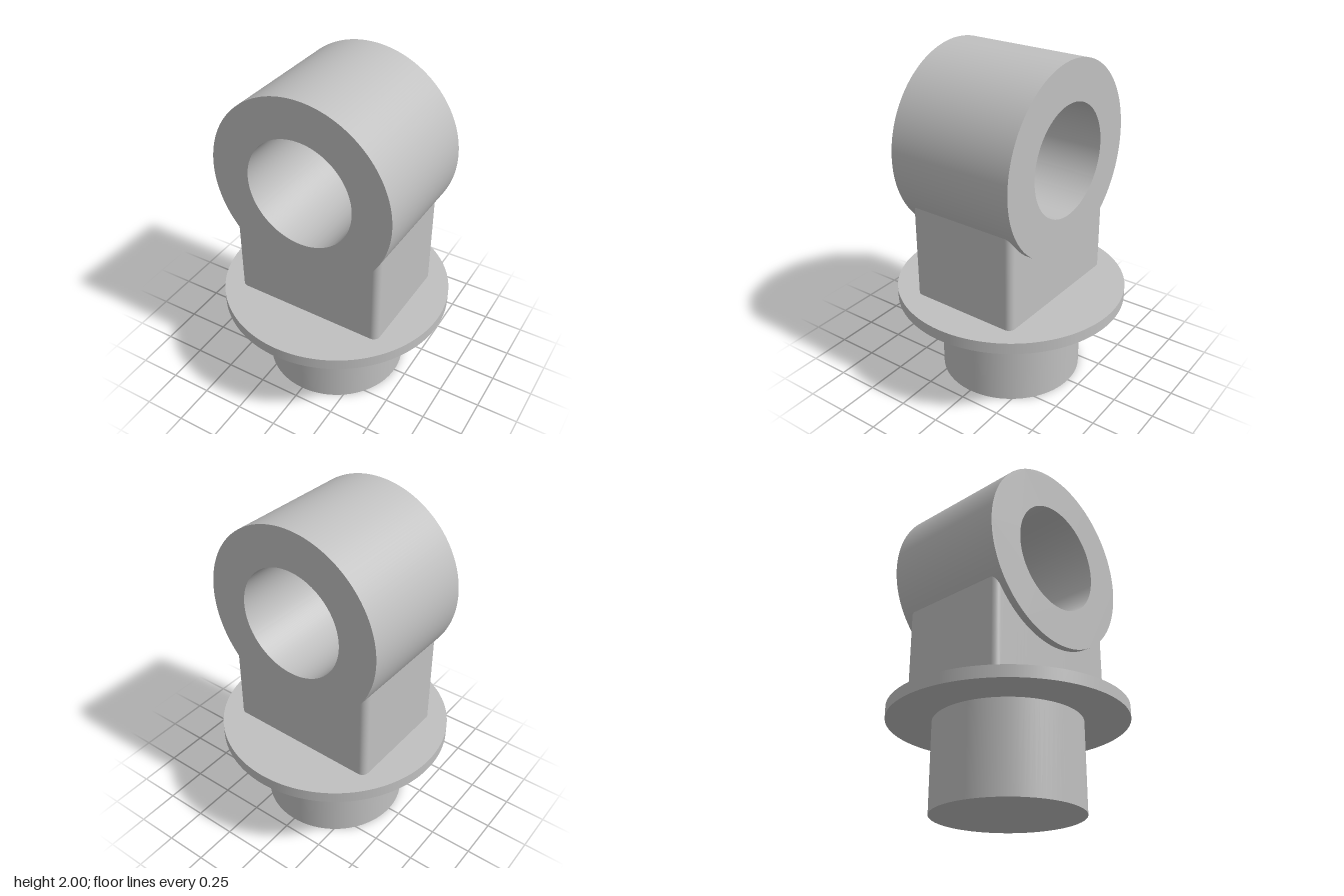
import * as THREE from 'three';
import { toCreasedNormals } from 'three/addons/utils/BufferGeometryUtils.js';

const EYE_Y = 1.445, EYE_R = 0.555, BORE_R = 0.324, EYE_DEPTH = 0.772;

// Ring extruded along z, centred on its own origin
function ringGeometry(outer, inner, depth) {
  const shape = new THREE.Shape().absarc(0, 0, outer, 0, Math.PI * 2, false);
  shape.holes.push(new THREE.Path().absarc(0, 0, inner, 0, Math.PI * 2, true));
  const geo = new THREE.ExtrudeGeometry(shape, { depth, bevelEnabled: false, curveSegments: 96 });
  geo.translate(0, 0, -depth / 2);
  return toCreasedNormals(geo, 0.6);
}

// Rounded rectangular wall whose top edge follows an arc buried inside the eye
function neckGeometry(halfX, halfZ, r, bottom, buryR) {
  const outline = [];
  const corners = [[1, 1], [-1, 1], [-1, -1], [1, -1]];
  corners.forEach(([sx, sz], i) => {
    for (let k = 0; k <= 8; k++) {
      const a = (i + k / 8) * Math.PI / 2, nx = Math.cos(a), nz = Math.sin(a);
      outline.push([sx * (halfX - r) + r * nx, sz * (halfZ - r) + r * nz, nx, nz]);
    }
    // Subdivide the straight run to the next corner
    const [x, z, nx, nz] = outline[outline.length - 1];
    const [ex, ez] = corners[(i + 1) % 4];
    const tx = ex * (halfX - r) + r * nx, tz = ez * (halfZ - r) + r * nz;
    for (let k = 1; k < 32; k++) {
      const t = k / 32;
      outline.push([x + (tx - x) * t, z + (tz - z) * t, nx, nz]);
    }
  });

  const pos = [], nor = [], idx = [], n = outline.length;
  outline.forEach(([x, z, nx, nz], i) => {
    pos.push(x, bottom, z, x, EYE_Y - Math.sqrt(buryR * buryR - x * x), z);
    nor.push(nx, 0, nz, nx, 0, nz);
    const a = 2 * i, b = 2 * ((i + 1) % n);
    idx.push(a, a + 1, b, a + 1, b + 1, b);
  });
  const geo = new THREE.BufferGeometry();
  geo.setAttribute('position', new THREE.Float32BufferAttribute(pos, 3));
  geo.setAttribute('normal', new THREE.Float32BufferAttribute(nor, 3));
  geo.setIndex(idx);
  return geo;
}

export function createModel() {
  const model = new THREE.Group();
  model.name = 'rodEye';
  const steel = new THREE.MeshStandardMaterial({ color: 0xc0c0c0 });
  steel.name = 'grey steel';

  const add = (parent, name, geo, y) => {
    const mesh = new THREE.Mesh(geo, steel);
    mesh.name = name;
    mesh.position.y = y;
    parent.add(mesh);
  };

  // Round shank and flange
  add(model, 'shank', new THREE.CylinderGeometry(0.427, 0.427, 0.52, 96), 0.26);
  add(model, 'flange', new THREE.CylinderGeometry(0.685, 0.685, 0.068, 128), 0.552);

  // Eye and neck, turned very slightly about the shank axis
  const head = new THREE.Group();
  head.name = 'head';
  head.rotation.y = -0.018;
  add(head, 'eye', ringGeometry(EYE_R, BORE_R, EYE_DEPTH), EYE_Y);
  add(head, 'neck', neckGeometry(0.471, 0.343, 0.04, 0.58, 0.53), 0);
  model.add(head);

  return model;
}
